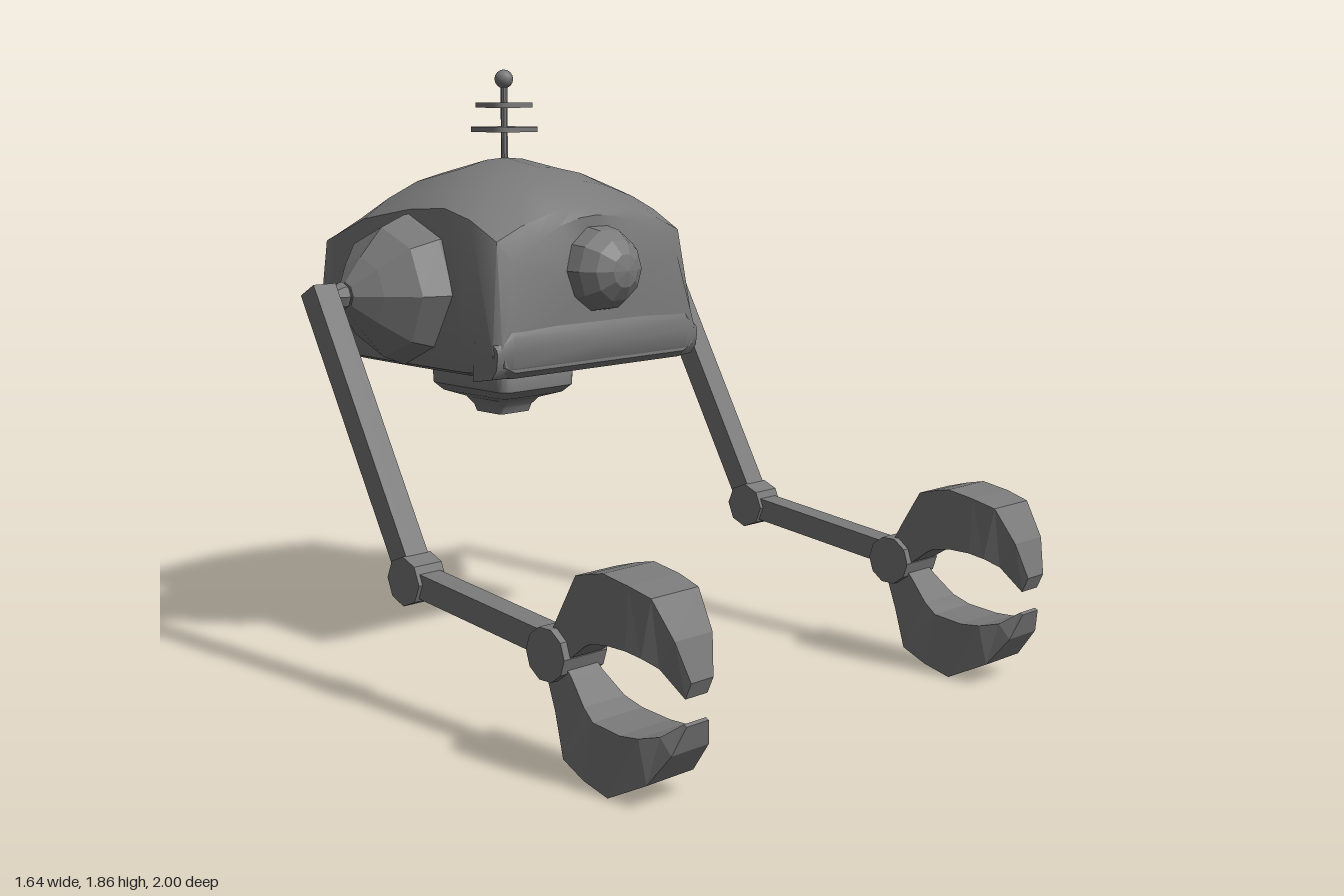
import * as THREE from 'three';
import { toCreasedNormals } from 'three/addons/utils/BufferGeometryUtils.js';

const smooth = new THREE.MeshStandardMaterial({ color: 0x797979 });
const flat = new THREE.MeshStandardMaterial({ color: 0x797979, flatShading: true });

function add(parent, name, geometry, x = 0, y = 0, z = 0, mat = flat) {
  const mesh = new THREE.Mesh(geometry, mat);
  mesh.name = name;
  mesh.position.set(x, y, z);
  parent.add(mesh);
  return mesh;
}

// Skin a list of equal-length rings of [x, y, z] and cap both ends
function loft(rings, crease = 0.55) {
  const n = rings[0].length;
  const pos = rings.flat(2);
  const index = [];
  for (let r = 0; r < rings.length - 1; r++) {
    for (let i = 0; i < n; i++) {
      const a = r * n + i, b = r * n + (i + 1) % n;
      index.push(a, b, b + n, a, b + n, a + n);
    }
  }
  [0, rings.length - 1].forEach((r) => {
    const c = pos.length / 3;
    for (let k = 0; k < 3; k++) pos.push(rings[r].reduce((s, p) => s + p[k], 0) / n);
    for (let i = 0; i < n; i++) {
      const a = r * n + i, b = r * n + (i + 1) % n;
      if (r === 0) index.push(c, b, a);
      else index.push(c, a, b);
    }
  });
  // Turn the faces outward whichever way the rings run
  const v = (i) => new THREE.Vector3().fromArray(pos, i * 3);
  let volume = 0;
  for (let i = 0; i < index.length; i += 3) {
    volume += v(index[i]).dot(v(index[i + 1]).cross(v(index[i + 2])));
  }
  if (volume < 0) index.reverse();
  const g = new THREE.BufferGeometry();
  g.setAttribute('position', new THREE.Float32BufferAttribute(pos, 3));
  g.setIndex(index);
  return toCreasedNormals(g, crease);
}

// Rounded rectangle ring lying flat at height y
function roundedRing(hx, hz, r, y) {
  const ring = [];
  for (let c = 0; c < 4; c++) {
    const sx = c === 0 || c === 3 ? 1 : -1, sz = c < 2 ? 1 : -1;
    for (let k = 0; k <= 3; k++) {
      const a = (c + k / 3) * Math.PI / 2;
      ring.push([sx * (hx - r) + r * Math.cos(a), y, sz * (hz - r) + r * Math.sin(a)]);
    }
  }
  return ring;
}

// One section of the domed shell: crown height, shoulder height and width,
// base width, floor, and how far the lower part leans forward
function shellRing(z, top, shoulder, sw, bw, floor, lean = 0) {
  const half = [[0.36, floor], [bw - 0.01, floor + 0.02], [bw, floor + 0.08]];
  for (const t of [1, 0.75, 0.45, 0.2]) half.push([sw * t, top - (top - shoulder) * t * t]);
  const other = half.map(([x, y]) => [-x, y]).reverse();
  return [...half, [0, top], ...other].map(([x, y]) =>
    [x, y, z + lean * THREE.MathUtils.clamp(1.35 - y, 0, 0.3)]);
}

// Straight bar between two [y, z] points
function bar(parent, name, [y0, z0], [y1, z1], width, thick) {
  const m = add(parent, name, new THREE.BoxGeometry(width, thick, Math.hypot(y1 - y0, z1 - z0)),
    0, (y0 + y1) / 2, (z0 + z1) / 2);
  m.rotation.x = -Math.atan2(y1 - y0, z1 - z0);
}

// Pivot cylinder lying along x
function pivot(parent, name, r, width, y, z, sides) {
  add(parent, name, new THREE.CylinderGeometry(r, r, width, sides).rotateZ(Math.PI / 2), 0, y, z);
}

// Claw finger from rows of [outer z, outer y, inner z, inner y, half width]
function finger(rows) {
  return loft(rows.map(([oz, oy, iz, iy, w]) =>
    [[w, oy, oz], [-w, oy, oz], [-w, iy, iz], [w, iy, iz]]), 0.7);
}

function createArm() {
  const arm = new THREE.Group();
  bar(arm, 'upperArm', [1.205, -0.582], [0.4, -0.13], 0.08, 0.075);
  pivot(arm, 'elbow', 0.073, 0.1, 0.4, -0.13, 8);
  bar(arm, 'forearm', [0.4, -0.13], [0.33, 0.5], 0.075, 0.072);
  pivot(arm, 'wrist', 0.075, 0.155, 0.325, 0.505, 10);
  add(arm, 'upperFinger', finger([
    [0.49, 0.36, 0.52, 0.30, 0.052],
    [0.54, 0.445, 0.585, 0.33, 0.056],
    [0.62, 0.56, 0.65, 0.375, 0.074],
    [0.68, 0.577, 0.69, 0.395, 0.09],
    [0.74, 0.59, 0.75, 0.405, 0.092],
    [0.83, 0.575, 0.82, 0.405, 0.092],
    [0.905, 0.555, 0.87, 0.395, 0.085],
    [0.97, 0.455, 0.917, 0.375, 0.068],
    [1.0, 0.35, 0.98, 0.305, 0.04],
  ]));
  add(arm, 'lowerFinger', finger([
    [0.48, 0.27, 0.52, 0.34, 0.052],
    [0.52, 0.17, 0.585, 0.275, 0.056],
    [0.57, 0.055, 0.65, 0.215, 0.074],
    [0.665, 0.025, 0.70, 0.19, 0.09],
    [0.757, 0.003, 0.80, 0.18, 0.092],
    [0.89, 0.07, 0.86, 0.185, 0.085],
    [0.96, 0.16, 0.92, 0.2, 0.068],
    [0.985, 0.235, 0.975, 0.24, 0.04],
  ]));
  return arm;
}

export function createModel() {
  const model = new THREE.Group();
  const cz = -0.57;

  // Domed shell, back to front
  add(model, 'shell', loft([
    shellRing(-1.0, 1.41, 1.31, 0.395, 0.43, 0.965),
    shellRing(-0.95, 1.44, 1.33, 0.395, 0.43, 0.937),
    shellRing(-0.8, 1.53, 1.39, 0.393, 0.43, 0.935),
    shellRing(cz, 1.58, 1.43, 0.392, 0.43, 0.933),
    shellRing(-0.4, 1.553, 1.44, 0.39, 0.43, 0.933),
    shellRing(-0.28, 1.515, 1.41, 0.39, 0.43, 0.933),
    shellRing(-0.165, 1.445, 1.35, 0.385, 0.43, 0.942, 0.1),
    shellRing(-0.138, 1.415, 1.28, 0.345, 0.41, 0.962, 0.08),
  ]), 0, 0, 0, smooth);

  // Lip below the face, tucked in at both ends
  const lip = [[-0.22, 0.93], [-0.135, 0.945], [-0.112, 0.975], [-0.106, 1.03], [-0.109, 1.07], [-0.125, 1.095], [-0.22, 1.1]];
  add(model, 'lip', loft([[-0.427, 1], [-0.37, 0], [0, 0], [0.37, 0], [0.427, 1]].map(([x, end]) =>
    lip.map(([z, y]) => [x, y - end * Math.max(0, y - 1.0) * 0.5, z - end * 0.01]))), 0, 0, 0, smooth);

  // Eye
  add(model, 'eye', new THREE.SphereGeometry(0.137, 10, 8).rotateX(Math.PI / 2), 0, 1.25, -0.138);

  // Belly box with its stub
  add(model, 'belly', loft([
    roundedRing(0.135, 0.165, 0.03, 0.95),
    roundedRing(0.158, 0.19, 0.035, 0.89),
    roundedRing(0.155, 0.19, 0.035, 0.845),
    roundedRing(0.135, 0.165, 0.035, 0.82),
    roundedRing(0.085, 0.1, 0.025, 0.8),
    roundedRing(0.07, 0.072, 0.015, 0.775),
    roundedRing(0.065, 0.065, 0.015, 0.752),
  ]), 0, 0, -0.59, smooth);

  // Antenna with two plates
  add(model, 'antennaRod', new THREE.CylinderGeometry(0.011, 0.011, 0.28, 8), 0, 1.69, cz);
  add(model, 'antennaBall', new THREE.SphereGeometry(0.03, 10, 8), 0, 1.83, cz, smooth);
  for (const [y, h] of [[1.67, 0.088], [1.747, 0.077]]) {
    add(model, 'antennaPlate', loft([roundedRing(h, h, 0.04, -0.008), roundedRing(h, h, 0.04, 0.008)]), 0, y, cz, smooth);
  }

  // Shoulder pods, knobs and arms on both sides
  const podProfile = [[0, 0.3], [0.235, 0.3], [0.235, 0.41], [0.2, 0.5], [0.115, 0.58], [0.04, 0.64], [0, 0.645]];
  const knobProfile = [[0, 0.63], [0.022, 0.63], [0.042, 0.65], [0.042, 0.662], [0.022, 0.695], [0, 0.7]];
  const lathe = (pts, sides) => new THREE.LatheGeometry(pts.map(([r, x]) => new THREE.Vector2(r, x)), sides)
    .rotateZ(-Math.PI / 2);
  for (const side of [1, -1]) {
    const limb = new THREE.Group();
    limb.name = side > 0 ? 'leftSide' : 'rightSide';
    const joint = new THREE.Group();
    joint.name = 'shoulder';
    joint.position.set(0, 1.18, cz);
    joint.rotation.y = side > 0 ? 0 : Math.PI;
    add(joint, 'shoulderPod', lathe(podProfile, 8));
    add(joint, 'shoulderKnob', lathe(knobProfile, 8));
    const arm = createArm();
    arm.name = 'arm';
    arm.position.x = side * 0.73;
    limb.add(joint, arm);
    model.add(limb);
  }
  return model;
}
